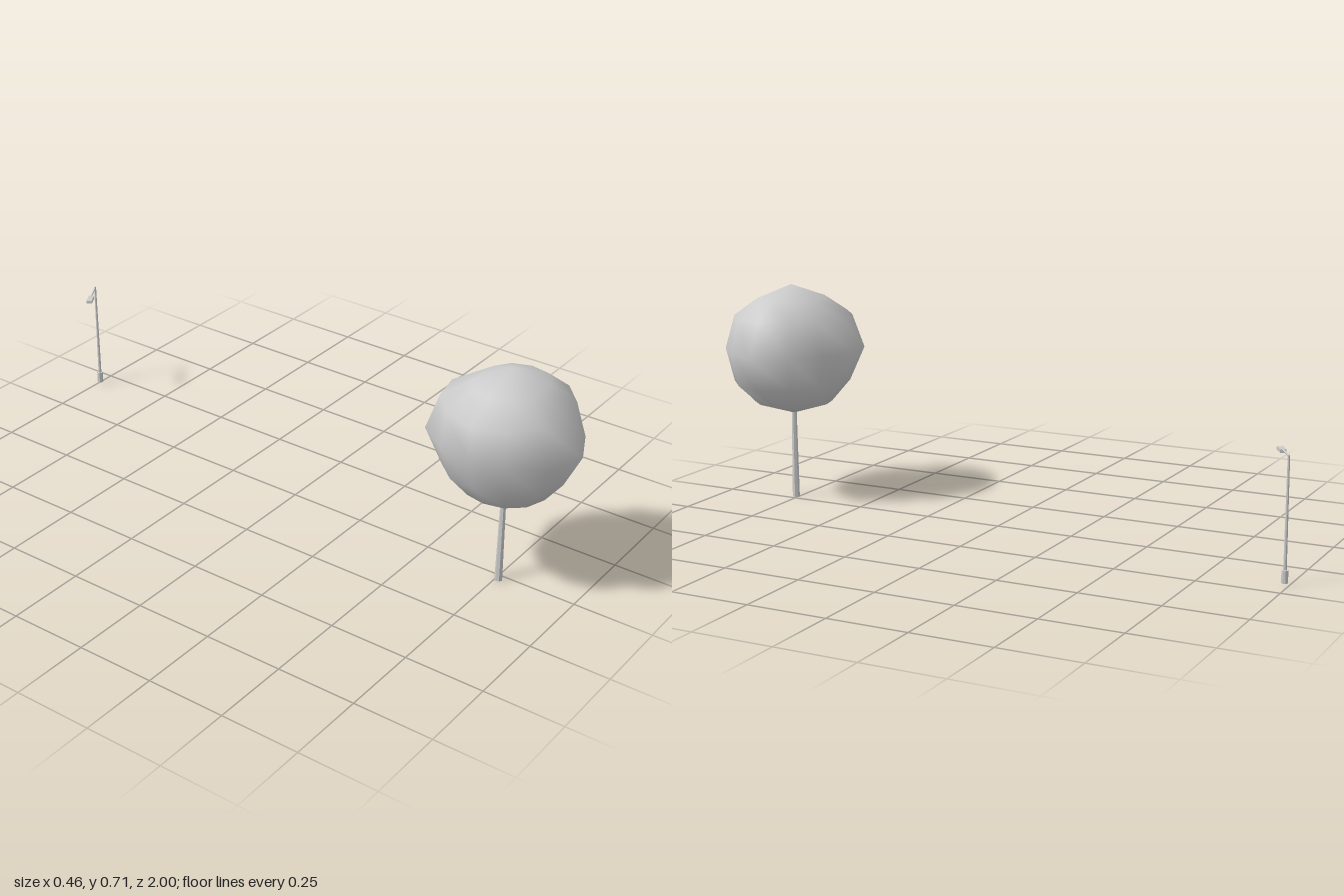
import * as THREE from 'three';

const grey = new THREE.MeshStandardMaterial({ color: 0xcccccc });
const flat = new THREE.MeshStandardMaterial({ color: 0xcccccc, flatShading: true });

function part(name, geometry, material, x, y, z) {
  const mesh = new THREE.Mesh(geometry, material);
  mesh.name = name;
  mesh.position.set(x, y, z);
  return mesh;
}

// Irregular 12-sided crown: [height, radius every 30 degrees from +x towards +z]
function crownGeometry() {
  const rings = [
    [0.662, [0.115, 0.12, 0.11, 0.10, 0.11, 0.12, 0.12, 0.12, 0.11, 0.09, 0.10, 0.11]],
    [0.608, [0.19, 0.19, 0.185, 0.175, 0.19, 0.20, 0.21, 0.20, 0.195, 0.19, 0.175, 0.175]],
    [0.500, [0.248, 0.22, 0.216, 0.238, 0.23, 0.207, 0.204, 0.215, 0.233, 0.238, 0.21, 0.205]],
    [0.392, [0.21, 0.195, 0.19, 0.185, 0.18, 0.178, 0.172, 0.18, 0.185, 0.18, 0.18, 0.185]],
    [0.322, [0.12, 0.12, 0.125, 0.13, 0.125, 0.12, 0.117, 0.12, 0.125, 0.125, 0.115, 0.115]],
  ];
  const n = 12, pos = [0, 0.707, 0], index = [];
  for (const [y, radii] of rings) {
    radii.forEach((r, i) => {
      const a = (i / n) * Math.PI * 2;
      pos.push(r * Math.cos(a), y, r * Math.sin(a));
    });
  }
  pos.push(0, 0.283, 0);
  const last = 1 + rings.length * n;
  for (let i = 0; i < n; i++) {
    const j = (i + 1) % n;
    index.push(0, 1 + j, 1 + i);
    for (let k = 0; k < rings.length - 1; k++) {
      const a = 1 + k * n + i, b = 1 + k * n + j;
      index.push(a, b, a + n, b, b + n, a + n);
    }
    index.push(last, last - n + i, last - n + j);
  }
  const g = new THREE.BufferGeometry();
  g.setAttribute('position', new THREE.Float32BufferAttribute(pos, 3));
  g.setIndex(index);
  g.computeVertexNormals();
  return g;
}

export function createModel() {
  const model = new THREE.Group();

  // Tree
  const tree = new THREE.Group();
  tree.name = 'tree';
  tree.position.set(-0.021, 0, 0.76);
  tree.add(part('trunk', new THREE.CylinderGeometry(0.008, 0.012, 0.31, 7), flat, 0, 0.155, 0));
  tree.add(part('crown', crownGeometry(), grey, 0, 0, 0));
  model.add(tree);

  // Street lamp, its arm turned towards the front right
  const lamp = new THREE.Group();
  lamp.name = 'streetLamp';
  lamp.position.set(0.185, 0, -0.99);
  lamp.rotation.y = -Math.atan2(0.052, -0.085);
  lamp.add(part('lampBase', new THREE.CylinderGeometry(0.01, 0.01, 0.037, 8), flat, 0, 0.0285, 0));
  lamp.add(part('lampPole', new THREE.CylinderGeometry(0.0035, 0.0052, 0.34, 8), flat, 0, 0.207, 0));
  const arm = part('lampArm', new THREE.CylinderGeometry(0.003, 0.003, 0.075, 6), flat, 0.035, 0.374, 0);
  arm.rotation.z = Math.PI / 2;
  lamp.add(arm);
  lamp.add(part('lampHead', new THREE.BoxGeometry(0.042, 0.01, 0.018), flat, 0.088, 0.371, 0));
  model.add(lamp);

  return model;
}
